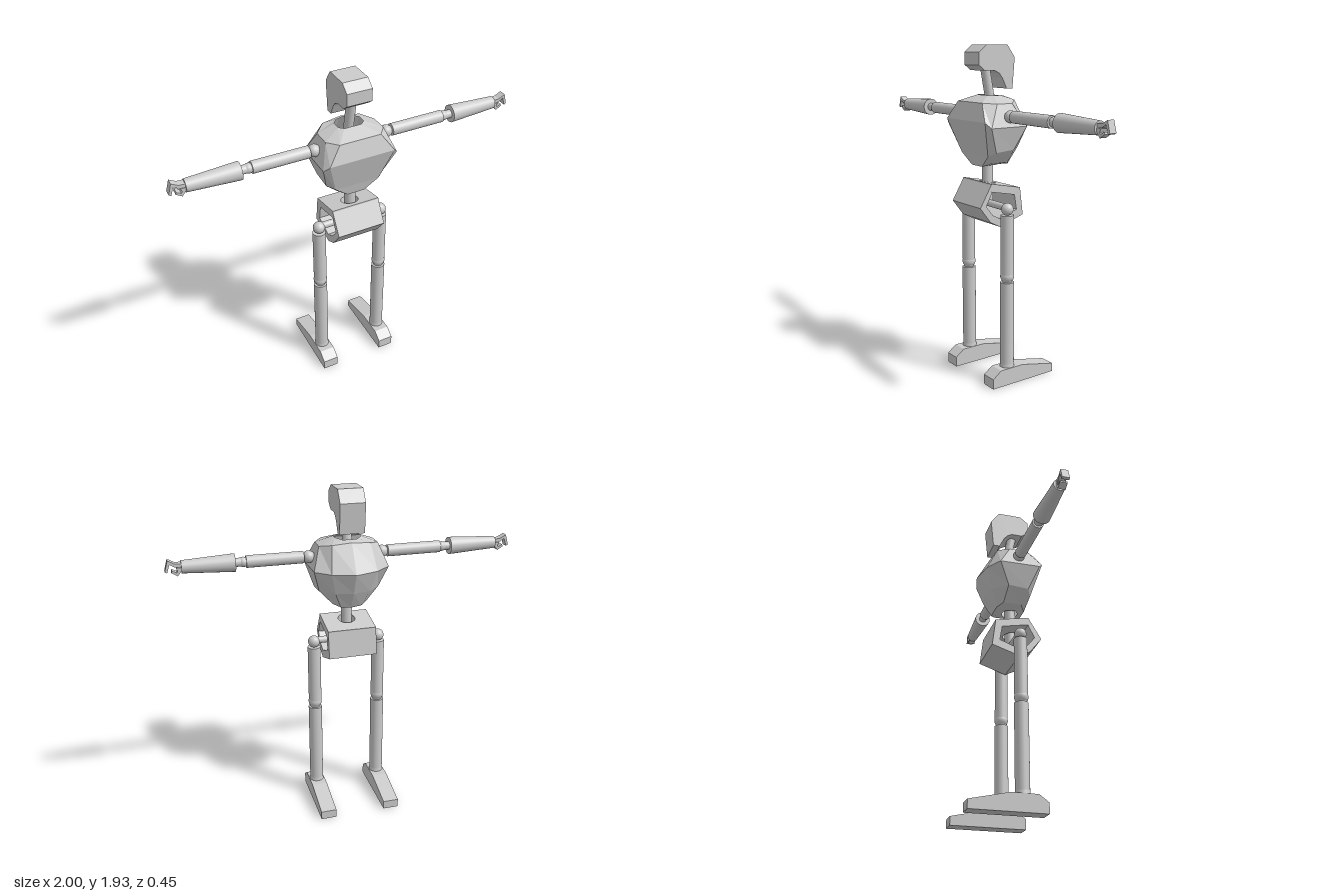
import * as THREE from 'three';

const smooth = new THREE.MeshStandardMaterial({ color: 0xcccccc });
const flat = new THREE.MeshStandardMaterial({ color: 0xcccccc, flatShading: true, side: THREE.DoubleSide });

function add(parent, name, geo, mat = smooth, x = 0, y = 0, z = 0) {
  const m = new THREE.Mesh(geo, mat);
  m.name = name;
  m.position.set(x, y, z);
  parent.add(m);
  return m;
}

// Round bar between two points
function bar(parent, name, a, b, ra, rb = ra) {
  const p = new THREE.Vector3(...a), q = new THREE.Vector3(...b);
  const d = q.clone().sub(p);
  const m = add(parent, name, new THREE.CylinderGeometry(rb, ra, d.length(), 24));
  m.position.copy(p).add(q).multiplyScalar(0.5);
  m.quaternion.setFromUnitVectors(new THREE.Vector3(0, 1, 0), d.normalize());
  return m;
}

const ball = (parent, name, x, y, z, r) =>
  add(parent, name, new THREE.SphereGeometry(r, 20, 14), smooth, x, y, z);

const outline = (pts) => new THREE.Shape(pts.map(([a, b]) => new THREE.Vector2(a, b)));

// Side profile given as (z, y), extruded across x
function sideProfile(pts, width) {
  return new THREE.ExtrudeGeometry(outline(pts), { depth: width, bevelEnabled: false })
    .translate(0, 0, -width / 2).rotateY(-Math.PI / 2);
}

// Faceted hollow chest: half rings from neck opening down to waist opening
function chestGeometry() {
  const half = [
    [[.05, 1.655, .11], [.075, 1.655, .085], [.075, 1.655, .04], [.045, 1.65, 0], [0, 1.65, -.01]],
    [[.12, 1.62, .195], [.17, 1.615, .13], [.17, 1.615, .03], [.11, 1.63, -.03], [0, 1.64, -.04]],
    [[.19, 1.52, .225], [.218, 1.49, .2], [.215, 1.49, -.04], [.13, 1.485, -.1], [0, 1.48, -.13]],
    [[.13, 1.325, .165], [.175, 1.35, .14], [.175, 1.36, .02], [.1, 1.36, -.06], [0, 1.36, -.08]],
    [[.05, 1.26, .15], [.1, 1.28, .12], [.1, 1.28, .01], [.06, 1.265, -.02], [0, 1.26, -.025]],
    [[.02, 1.262, .12], [.045, 1.262, .1], [.045, 1.262, .055], [.025, 1.262, .035], [0, 1.262, .03]],
  ];
  const rings = half.map((h) => [...h, ...h.slice(0, 4).reverse().map(([x, y, z]) => [-x, y, z])]);
  const v = [];
  const quad = (a, b, c, d) => v.push(...a, ...b, ...c, ...a, ...c, ...d);
  const mid = (a, b) => a.map((n, i) => (n + b[i]) / 2);
  for (let i = 0; i < rings.length - 1; i++) {
    for (let j = 0; j < 9; j++) {
      const k = (j + 1) % 9;
      const [a, b, c, d] = [rings[i][j], rings[i + 1][j], rings[i + 1][k], rings[i][k]];
      if (i === 1 && (j === 1 || j === 6)) {
        // round arm opening in the shoulder panel
        const edge = [a, mid(a, b), b, mid(b, c), c, mid(c, d), d, mid(d, a)];
        const dir = j === 1 ? 1 : -1;
        const hole = edge.map((_, n) => {
          const t = Math.PI * (0.25 + n / 4);
          const y = 1.552 + .048 * Math.sin(t);
          return [dir * (.17 + .045 * (1.615 - y) / .125), y, .075 + dir * .048 * Math.cos(t)];
        });
        edge.forEach((e, n) => quad(e, edge[(n + 1) % 8], hole[(n + 1) % 8], hole[n]));
      } else quad(a, b, c, d);
    }
  }
  const g = new THREE.BufferGeometry();
  g.setAttribute('position', new THREE.Float32BufferAttribute(v, 3));
  g.computeVertexNormals();
  return g;
}

// Arm pointing along +x, with a two-pronged claw
function makeArm(name) {
  const g = new THREE.Group();
  g.name = name;
  const y = 1.548;
  ball(g, 'shoulderJoint', .215, y, 0, .035);
  bar(g, 'upperArm', [.245, y, 0], [.565, y, 0], .034);
  ball(g, 'elbowJoint', .58, y, 0, .028);
  bar(g, 'elbowPin', [.58, y, 0], [.64, y, 0], .024);
  bar(g, 'forearm', [.625, y, 0], [.912, y, 0], .05, .035);
  const prongs = {
    finger: [[.9, 1.57], [.945, 1.572], [.982, 1.592], [1, 1.53], [.988, 1.524], [.972, 1.57], [.945, 1.552], [.9, 1.55]],
    thumb: [[.9, 1.55], [.94, 1.548], [.932, 1.53], [.938, 1.522], [.962, 1.535], [.966, 1.523], [.934, 1.503], [.912, 1.53], [.9, 1.53]],
  };
  for (const [part, pts] of Object.entries(prongs)) {
    add(g, part, new THREE.ExtrudeGeometry(outline(pts), { depth: .042, bevelEnabled: false }).translate(0, 0, -.021), flat);
  }
  return g;
}

function makeLeg(name, x) {
  const g = new THREE.Group();
  g.name = name;
  g.position.set(x, 0, .08);
  ball(g, 'hipJoint', 0, 1.033, 0, .035);
  bar(g, 'thigh', [0, .655, 0], [0, 1.0, 0], .038);
  ball(g, 'kneeJoint', 0, .645, 0, .04);
  bar(g, 'kneePin', [0, .6, 0], [0, .64, 0], .025, .036);
  bar(g, 'shin', [0, .11, 0], [0, .61, 0], .04);
  bar(g, 'ankle', [0, .09, 0], [0, .12, 0], .044, .04);
  const foot = [[.21, 0], [.21, .06], [.155, .1], [0, .1], [-.225, .05], [-.225, 0]];
  add(g, 'foot', sideProfile(foot, .092), flat, 0, 0, -.08);
  return g;
}

export function createModel() {
  const model = new THREE.Group();
  model.name = 'robotFigure';
  const body = new THREE.Group();
  body.name = 'body';
  body.position.x = -.004;
  model.add(body);

  // Head and neck
  const head = [[.18, 1.89], [.13, 1.93], [-.01, 1.93], [-.06, 1.86], [-.045, 1.69], [-.005, 1.69],
    [.025, 1.75], [.045, 1.775], [.075, 1.79], [.14, 1.79], [.18, 1.82]];
  add(body, 'head', sideProfile(head, .144), flat);
  bar(body, 'neck', [0, 1.56, .045], [0, 1.82, .095], .027);

  // Torso
  add(body, 'chest', chestGeometry(), flat);
  bar(body, 'spine', [0, 1.04, .078], [0, 1.57, .075], .032);
  bar(body, 'shoulderAxle', [-.21, 1.548, .075], [.21, 1.548, .075], .02);

  // Pelvis: open-sided channel with a pierced top plate
  const channel = [[.15, 1.17], [.225, 1.045], [.155, .955], [.09, .922], [-.07, .975], [-.05, 1.13],
    [-.01, 1.1], [-.025, 1.01], [.085, .968], [.14, .995], [.185, 1.05], [.148, 1.12]];
  add(body, 'pelvis', sideProfile(channel, .284), flat);
  const plate = outline([[-.142, 0], [.142, 0], [.142, .204], [-.142, .204]]);
  plate.holes.push(new THREE.Path().absarc(0, .078, .05, 0, Math.PI * 2, true));
  const plateGeo = new THREE.ExtrudeGeometry(plate, { depth: .045, bevelEnabled: false, curveSegments: 10 })
    .rotateX(-Math.PI / 2).translate(0, -.045, 0).rotateX(-.197);
  add(body, 'pelvisTop', plateGeo, flat, 0, 1.175, .15);
  bar(body, 'hipAxle', [-.195, 1.04, .08], [.195, 1.04, .08], .02);

  // Limbs
  body.add(makeLeg('leftLeg', .196), makeLeg('rightLeg', -.196));
  const left = makeArm('leftArm'), right = makeArm('rightArm');
  right.rotation.y = Math.PI;
  left.position.z = right.position.z = .075;
  model.add(left, right);
  return model;
}
